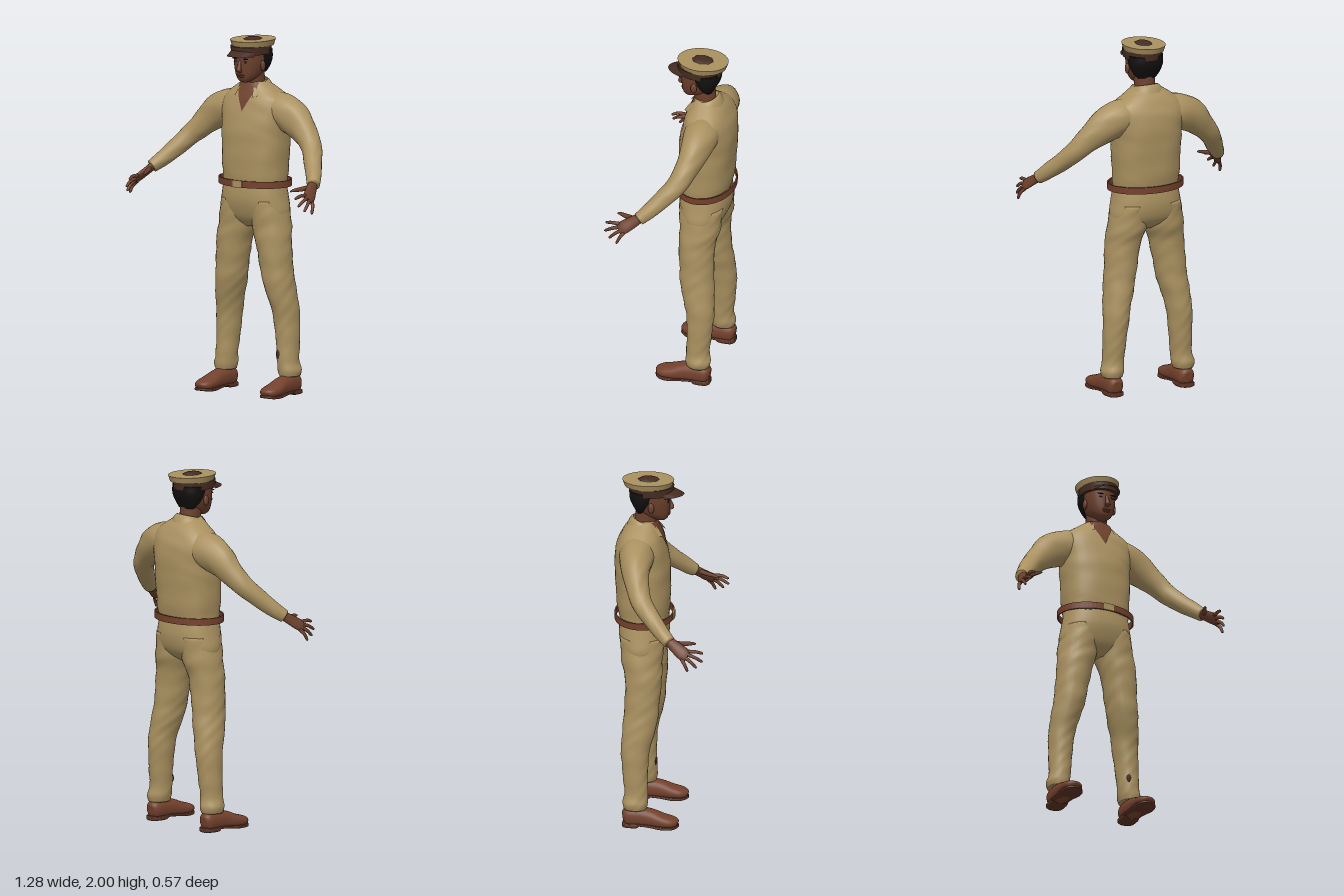
import * as THREE from 'three';

const mat = (name, color, side = THREE.FrontSide) =>
  Object.assign(new THREE.MeshStandardMaterial({ color, side }), { name });
const M = {
  cloth: mat('khaki cloth', 0xaa9160, THREE.DoubleSide),
  skin: mat('skin', 0x6c402c, THREE.DoubleSide),
  leather: mat('leather', 0x74412d),
  sole: mat('sole leather', 0x5c3324),
  cap: mat('cap brown', 0x452c21, THREE.DoubleSide),
  hair: mat('hair', 0x12100f),
};
const V = (x, y, z) => new THREE.Vector3(x, y, z);

// Smoothly interpolated row of a section table, t in 0..1
function sample(rows, t) {
  const last = rows.length - 1, f = Math.min(t * last, last - 1e-6), i = Math.floor(f), u = f - i;
  const r = (k) => rows[Math.max(0, Math.min(last, k))];
  return rows[0].map((_, k) => {
    const a = r(i - 1)[k], b = r(i)[k], c = r(i + 1)[k], d = r(i + 2)[k];
    return b + 0.5 * u * (c - a + u * (2 * a - 5 * b + 4 * c - d + u * (3 * (b - c) + d - a)));
  });
}

// Skin over rows [x, y, z, a, b]: ellipse rings, square to the path or flat in y
function loft(rows, { seg = 24, steps = 5, n = 2, flat = false, ref = V(0, 0, 1), fold = 0 } = {}) {
  const count = (rows.length - 1) * steps, pos = [], idx = [];
  const pw = (v) => Math.sign(v) * Math.abs(v) ** (2 / n);
  const at = (t) => V(...sample(rows, Math.max(0, Math.min(1, t))).slice(0, 3));
  for (let i = 0; i <= count; i++) {
    const t = i / count, s = sample(rows, t), c = V(s[0], s[1], s[2]);
    const T = at(t + 0.01).sub(at(t - 0.01));
    if (flat) T.set(0, Math.sign(T.y), 0);
    T.normalize();
    const N = ref.clone().cross(T).normalize(), B = T.clone().cross(N);
    for (let j = 0; j < seg; j++) {
      const q = (j / seg) * Math.PI * 2;
      // soft cloth folds
      const w = 1 + fold * Math.sin(c.y * 47 + 2.2 * Math.sin(q * 2 + c.y * 9)) * Math.sin(q * 3 + c.y * 17);
      const p = c.clone().addScaledVector(N, s[3] * w * pw(Math.cos(q)))
        .addScaledVector(B, s[4] * w * pw(Math.sin(q)));
      pos.push(p.x, p.y, p.z);
      if (i < count) {
        const a = i * seg + j, b = i * seg + (j + 1) % seg;
        idx.push(a, b, b + seg, a, b + seg, a + seg);
      }
    }
  }
  // end caps
  for (const [row, base, dir] of [[rows[0], 0, 1], [rows[rows.length - 1], count * seg, 0]]) {
    const m = pos.length / 3;
    pos.push(row[0], row[1], row[2]);
    for (let j = 0; j < seg; j++) {
      const a = base + j, b = base + (j + 1) % seg;
      idx.push(m, dir ? b : a, dir ? a : b);
    }
  }
  return finish(pos, idx);
}

// Open sheet from f(u, v) -> [x, y, z]
function sheet(f, nu, nv) {
  const pos = [], idx = [];
  for (let i = 0; i <= nu; i++) for (let j = 0; j <= nv; j++) {
    pos.push(...f(i / nu, j / nv));
    if (i < nu && j < nv) {
      const a = i * (nv + 1) + j, b = a + nv + 1;
      idx.push(a, b, b + 1, a, b + 1, a + 1);
    }
  }
  return finish(pos, idx);
}

function finish(pos, idx) {
  const g = new THREE.BufferGeometry();
  g.setAttribute('position', new THREE.Float32BufferAttribute(pos, 3));
  g.setIndex(idx);
  g.computeVertexNormals();
  return g;
}

export function createModel() {
  const root = new THREE.Group();
  root.name = 'uniformedMan';
  const add = (name, geo, m) => {
    const mesh = new THREE.Mesh(geo, m);
    mesh.name = name;
    root.add(mesh);
    return mesh;
  };
  const blob = (name, m, p, s, seg = 14) => {
    const o = add(name, new THREE.SphereGeometry(1, seg, 10), m);
    o.position.set(...p);
    o.scale.set(...s);
  };

  // Shirt body and trouser seat
  const torso = [[0, 1.165, -0.115, 0.183, 0.133], [0, 1.25, -0.118, 0.19, 0.147], [0, 1.4, -0.122, 0.197, 0.152],
    [0, 1.5, -0.128, 0.2, 0.152], [0, 1.6, -0.134, 0.212, 0.137], [0, 1.66, -0.132, 0.195, 0.117],
    [0, 1.7, -0.13, 0.145, 0.096], [0, 1.73, -0.122, 0.1, 0.076], [0, 1.75, -0.115, 0.07, 0.06]];
  add('shirt', loft(torso, { n: 2.4, flat: true, seg: 40, fold: 0.014 }), M.cloth);
  add('trouserSeat', loft([[0, 1.2, -0.112, 0.182, 0.13], [0, 1.1, -0.115, 0.2, 0.14], [0, 1.02, -0.118, 0.214, 0.124],
    [0, 0.97, -0.115, 0.19, 0.095], [0, 0.935, -0.11, 0.1, 0.05]], { n: 2.3, flat: true, seg: 36 }), M.cloth);

  // Open neck of the shirt, laid on the chest
  add('openNeck', sheet((u, v) => {
    const [, y, cz, a, b] = sample(torso, (3.88 + u * 3.9) / 8);
    const x = (v * 2 - 1) * Math.min(0.062, Math.max(0, y - 1.59) * 0.52);
    return [x, y, cz + b * (1 - Math.abs(x / a) ** 2.4) ** (1 / 2.4) + 0.005];
  }, 14, 8), M.skin);

  // Folded collar, open at the front
  add('collar', sheet((u, v) => {
    const q = (u * 2 - 1) * 2.55, k = (1 - Math.cos(q)) / 2;
    const rx = 0.072 + v * 0.032, rz = 0.064 + v * (0.034 + 0.036 * k);
    return [Math.sin(q) * rx, 1.768 - 0.035 * k - v * (0.045 + 0.022 * k) + Math.sin(v * Math.PI) * 0.01,
      -0.113 - Math.cos(q) * rz];
  }, 32, 5), M.cloth);

  // Belt standing off the waist, with a buckle
  const ring = new THREE.Shape().absellipse(0, 0, 0.223, 0.166, 0, Math.PI * 2);
  ring.holes.push(new THREE.Path().absellipse(0, 0, 0.215, 0.158, 0, Math.PI * 2, true));
  const belt = add('belt', new THREE.ExtrudeGeometry(ring, { depth: 0.038, bevelEnabled: false, curveSegments: 28 }), M.leather);
  belt.rotation.x = -Math.PI / 2;
  belt.position.set(0, 1.167, -0.115);
  add('buckle', new THREE.BoxGeometry(0.06, 0.04, 0.009), M.cloth).position.set(0, 1.186, 0.05);

  // Neck, head and face
  add('neck', loft([[0, 1.62, -0.12, 0.06, 0.06], [0, 1.72, -0.11, 0.058, 0.06], [0, 1.85, -0.095, 0.06, 0.065]], { flat: true }), M.skin);
  add('head', loft([[0, 1.752, -0.025, 0.022, 0.026], [0, 1.766, -0.03, 0.042, 0.046], [0, 1.795, -0.055, 0.066, 0.079],
    [0, 1.84, -0.073, 0.082, 0.101], [0, 1.89, -0.078, 0.088, 0.107], [0, 1.94, -0.08, 0.086, 0.106],
    [0, 1.97, -0.08, 0.06, 0.08]], { flat: true, n: 2.15, seg: 32 }), M.skin);
  add('nose', loft([[0, 1.88, 0.022, 0.008, 0.008], [0, 1.85, 0.034, 0.01, 0.01], [0, 1.824, 0.039, 0.017, 0.012],
    [0, 1.812, 0.028, 0.01, 0.006]], { flat: true, seg: 12 }), M.skin);
  blob('upperLip', M.skin, [0, 1.796, 0.022], [0.026, 0.006, 0.008]);
  blob('lowerLip', M.skin, [0, 1.786, 0.02], [0.022, 0.006, 0.009]);
  add('hair', loft([[0, 1.8, -0.135, 0.055, 0.025], [0, 1.825, -0.128, 0.078, 0.044], [0, 1.86, -0.122, 0.094, 0.068],
    [0, 1.89, -0.118, 0.1, 0.08], [0, 1.93, -0.112, 0.1, 0.085]], { flat: true, seg: 28, n: 2.2 }), M.hair);

  // Peaked cap: band, flared crown, centre button and visor
  const oval = (name, m, top, bottom, h, y, z, depth) => {
    const o = add(name, new THREE.CylinderGeometry(top, bottom, h, 40), m);
    o.position.set(0, y, z);
    o.scale.z = depth;
  };
  oval('capBand', M.cap, 0.106, 0.104, 0.045, 1.932, -0.076, 1.2);
  oval('capCrown', M.cloth, 0.117, 0.107, 0.034, 1.969, -0.094, 1.24);
  blob('capCentre', M.cap, [0, 1.982, -0.092], [0.048, 0.018, 0.064], 8);
  add('visor', sheet((u, v) => {
    const q = (u * 2 - 1) * 1.05, k = Math.sqrt(Math.max(0, Math.cos(q * 1.45)));
    return [Math.sin(q) * (0.1 - 0.004 * v), 1.935 - 0.012 * (1 - Math.cos(q)) - v * 0.028,
      -0.078 + 0.124 * Math.cos(q) + v * (0.012 + 0.05 * k)];
  }, 24, 4), M.cap);

  for (const s of [1, -1]) {
    const side = s > 0 ? 'left' : 'right';
    const flip = (rows) => rows.map(([x, ...r]) => [x * s, ...r]);
    const part = (name, rows, m, opt) => add(side + name, loft(flip(rows), opt), m);

    // Face details
    blob(side + 'Ear', M.skin, [s * 0.089, 1.845, -0.068], [0.011, 0.03, 0.018]);
    blob(side + 'Eye', M.cap, [s * 0.034, 1.87, 0.0225], [0.013, 0.005, 0.004]);
    blob(side + 'Brow', M.hair, [s * 0.036, 1.887, 0.0235], [0.019, 0.004, 0.005]);

    // Sleeve
    part('Sleeve', [[0.08, 1.595, -0.135, 0.09, 0.09], [0.17, 1.59, -0.138, 0.1, 0.098], [0.265, 1.55, -0.132, 0.097, 0.082],
      [0.345, 1.485, -0.115, 0.074, 0.066], [0.415, 1.415, -0.082, 0.058, 0.058], [0.475, 1.34, -0.018, 0.051, 0.05],
      [0.525, 1.28, 0.045, 0.044, 0.043], [0.562, 1.237, 0.095, 0.036, 0.036]], M.cloth, { fold: 0.035 });

    // Hand: palm, four fingers and thumb
    const ref = V(0.84 * s, 0.55, 0.02);
    part('Palm', [[0.55, 1.25, 0.08, 0.026, 0.024], [0.572, 1.215, 0.13, 0.034, 0.019], [0.592, 1.185, 0.175, 0.038, 0.016],
      [0.599, 1.173, 0.2, 0.031, 0.01]], M.skin, { ref, seg: 16 });
    const tips = [[0.576, 1.187, 0.285], [0.598, 1.145, 0.285], [0.617, 1.115, 0.253], [0.634, 1.097, 0.205]];
    tips.forEach(([x, y, z], i) => {
      const k = (i - 1.5) * 0.0185, b = [0.595 + k * 0.45, 1.178 - k * 0.67, 0.185 - k * 0.6];
      part('Finger' + (i + 1), [[...b, 0.011, 0.011],
        [(b[0] + x) / 2 + 0.005, (b[1] + y) / 2 + 0.006, (b[2] + z) / 2, 0.0095, 0.0095],
        [x - (x - b[0]) * 0.1, y - (y - b[1]) * 0.1, z - (z - b[2]) * 0.1, 0.0075, 0.0075],
        [x, y, z, 0.003, 0.003]], M.skin, { ref, seg: 10 });
    });
    part('Thumb', [[0.56, 1.232, 0.115, 0.014, 0.014], [0.538, 1.224, 0.165, 0.014, 0.012],
      [0.518, 1.22, 0.212, 0.01, 0.009], [0.508, 1.215, 0.236, 0.004, 0.004]], M.skin, { ref, seg: 10 });

    // Trouser leg with a gathered hem
    part('TrouserLeg', [[0.1, 1.09, -0.115, 0.098, 0.125], [0.112, 0.96, -0.115, 0.111, 0.116], [0.136, 0.85, -0.105, 0.1, 0.103],
      [0.155, 0.7, -0.11, 0.09, 0.097], [0.17, 0.6, -0.117, 0.085, 0.096], [0.19, 0.5, -0.135, 0.076, 0.086],
      [0.2, 0.4, -0.144, 0.07, 0.077], [0.208, 0.28, -0.14, 0.064, 0.069], [0.213, 0.19, -0.136, 0.06, 0.066],
      [0.221, 0.14, -0.139, 0.065, 0.071], [0.222, 0.105, -0.14, 0.056, 0.064]], M.cloth, { flat: true, seg: 28, fold: 0.032 });

    // Shoe with arched sole and heel
    const up = V(0, 1, 0);
    part('Shoe', [[0.222, 0.055, -0.207, 0.025, 0.03], [0.222, 0.058, -0.185, 0.046, 0.052], [0.222, 0.06, -0.12, 0.05, 0.056],
      [0.224, 0.053, -0.05, 0.051, 0.05], [0.226, 0.042, 0.01, 0.057, 0.038], [0.226, 0.036, 0.06, 0.055, 0.03],
      [0.225, 0.032, 0.09, 0.038, 0.022], [0.225, 0.028, 0.1, 0.015, 0.01]], M.leather, { ref: up, n: 2.3 });
    part('Sole', [[0.222, 0.013, -0.21, 0.025, 0.013], [0.222, 0.013, -0.19, 0.048, 0.013], [0.222, 0.013, -0.13, 0.051, 0.013],
      [0.223, 0.02, -0.11, 0.05, 0.008], [0.225, 0.016, -0.05, 0.052, 0.008], [0.226, 0.01, 0.01, 0.06, 0.009],
      [0.226, 0.01, 0.06, 0.058, 0.009], [0.225, 0.013, 0.09, 0.04, 0.008], [0.225, 0.016, 0.104, 0.016, 0.006]],
    M.sole, { ref: up, n: 5 });
  }

  // Worn patch on the left shin
  blob('shinPatch', M.cap, [0.19, 0.23, -0.0745], [0.017, 0.024, 0.0045], 7);
  return root;
}
